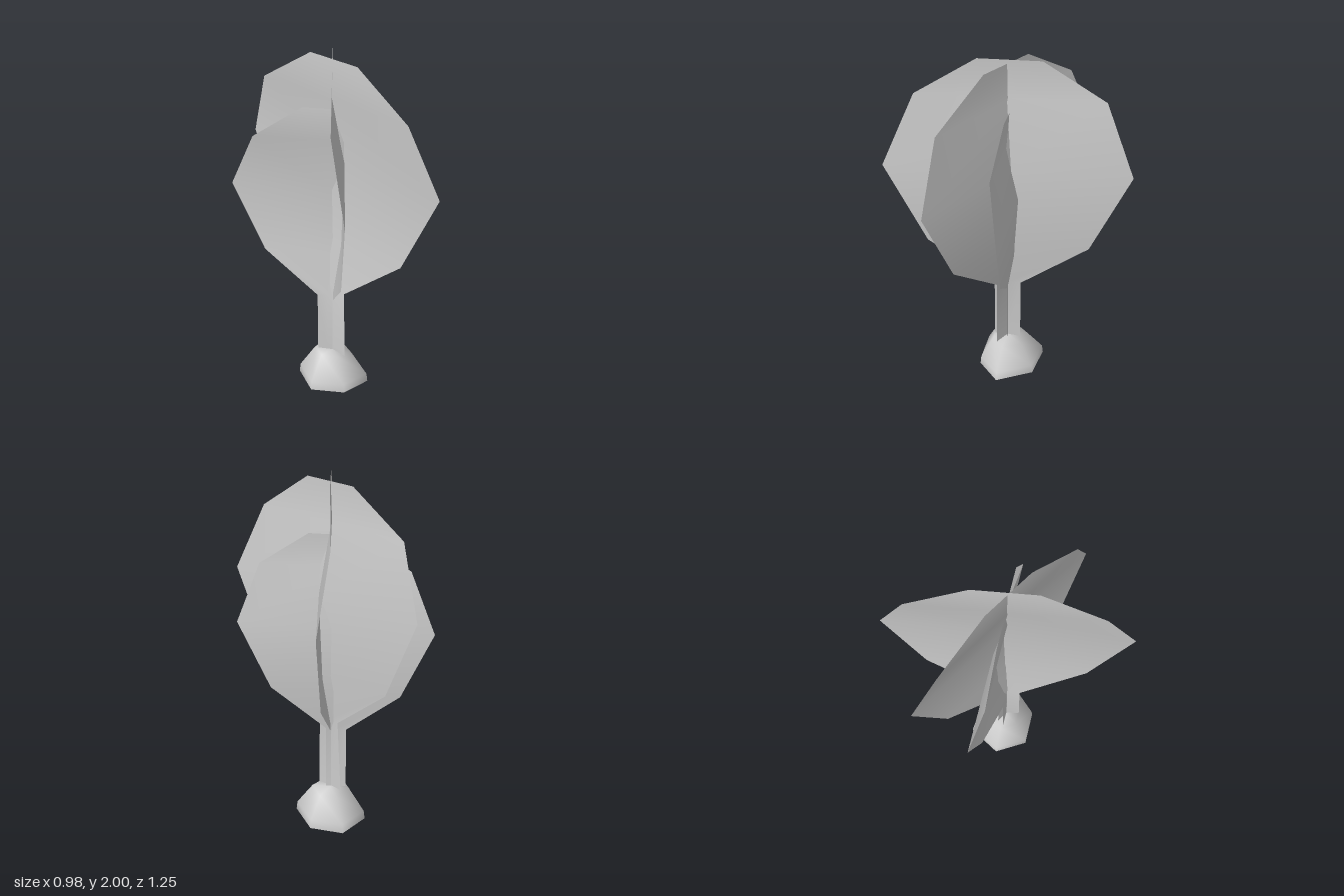
import * as THREE from 'three';

const foliage = new THREE.MeshStandardMaterial({ color: 0xcccccc, side: THREE.DoubleSide });
foliage.name = 'pale grey';

// Surface lofted through rows of points; closed rows wrap around.
function loft(name, rows, closed = false) {
  const n = rows[0].length, index = [];
  for (let r = 0; r < rows.length - 1; r++) {
    for (let i = 0; i < (closed ? n : n - 1); i++) {
      const j = (i + 1) % n, a = r * n + i, b = r * n + j;
      index.push(a, b, b + n, a, b + n, a + n);
    }
  }
  const g = new THREE.BufferGeometry();
  g.setAttribute('position', new THREE.Float32BufferAttribute(rows.flat(2), 3));
  g.setIndex(index);
  g.computeVertexNormals();
  const mesh = new THREE.Mesh(g, foliage);
  mesh.name = name;
  return mesh;
}

// Crossed leaf sheets. Each profile row: height, one edge, other edge, sideways bow.
const wideLeaf = [
  [0.18, -0.1, 0.01, -0.05], [0.585, -0.1, 0.01, -0.05], [0.89, -0.34, 0.32, 0.01],
  [1.38, -0.49, 0.49, 0.034], [1.78, -0.405, 0.33, -0.055], [2, -0.155, 0.09, -0.045],
];
const deepLeaf = [
  [0.18, 0.075, -0.085, -0.045], [0.61, 0.07, -0.06, -0.045], [0.91, 0.42, -0.42, -0.005],
  [1.38, 0.63, -0.625, 0.016], [1.76, 0.47, -0.48, -0.045], [1.977, 0.15, -0.155, -0.042],
];
const shortLeaf = [
  [0.17, 0.01, -0.085, -0.036], [0.56, 0.01, -0.085, -0.036], [0.81, 0.24, -0.36, 0.015],
  [1.2, 0.37, -0.52, 0.046], [1.52, 0.305, -0.37, -0.027], [1.7, 0.08, -0.15, -0.022],
];

// Base outline on the ground, around its own centre
const baseCentre = [-0.04, -0.015];
const baseOutline = [
  [-0.225, -0.02], [-0.12, 0.14], [0.05, 0.17], [0.145, -0.03], [0.06, -0.2], [-0.14, -0.19],
];

function baseRing(y, scale, tilt = 0) {
  return baseOutline.map(([x, z]) => {
    const px = baseCentre[0] + (x - baseCentre[0]) * scale;
    const pz = baseCentre[1] + (z - baseCentre[1]) * scale;
    return [px, y - tilt * (px - baseCentre[0]), pz];
  });
}

export function createModel() {
  const model = new THREE.Group();
  model.name = 'plant';

  // Sheets spanning x or z, bowed along the other axis
  const alongX = (rows, slope) => rows.map(([y, a, b, c]) =>
    [a, (a + b) / 2, b].map((x) => [x, y, slope * x + c]));
  const alongZ = (rows, slope) => rows.map(([y, a, b, c]) =>
    [a, (a + b) / 2, b].map((z) => [slope * z + c, y, z]));
  model.add(
    loft('wideLeaf', alongX(wideLeaf, -0.885)),
    loft('deepLeaf', alongZ(deepLeaf, 0.025)),
    loft('shortLeaf', alongZ(shortLeaf, 0.646)),
  );

  // Rounded lump at the foot, with a flat underside
  model.add(
    loft('base', [baseRing(0, 1), baseRing(0.05, 0.97), baseRing(0.185, 0.52, 0.15), baseRing(0.19, 0)].map(
      (ring) => ring.reverse()), true),
    loft('baseUnderside', [baseRing(0, 0), baseRing(0, 1)].map((ring) => ring.reverse()), true),
  );
  // Faces of the lump point outward
  for (const part of model.children.filter((m) => m.name.startsWith('base'))) {
    const idx = part.geometry.index.array;
    const isBase = part.name === 'base';
    for (let i = 0; i < idx.length; i += 3) {
      const [p, q, r] = [0, 1, 2].map((k) =>
        new THREE.Vector3().fromBufferAttribute(part.geometry.attributes.position, idx[i + k]));
      const normal = q.clone().sub(p).cross(r.clone().sub(p));
      const out = isBase ? p.add(q).add(r).divideScalar(3).sub(new THREE.Vector3(-0.04, 0, -0.015))
        : new THREE.Vector3(0, -1, 0);
      if (normal.dot(out) < 0) [idx[i + 1], idx[i + 2]] = [idx[i + 2], idx[i + 1]];
    }
    part.geometry.computeVertexNormals();
  }
  return model;
}
